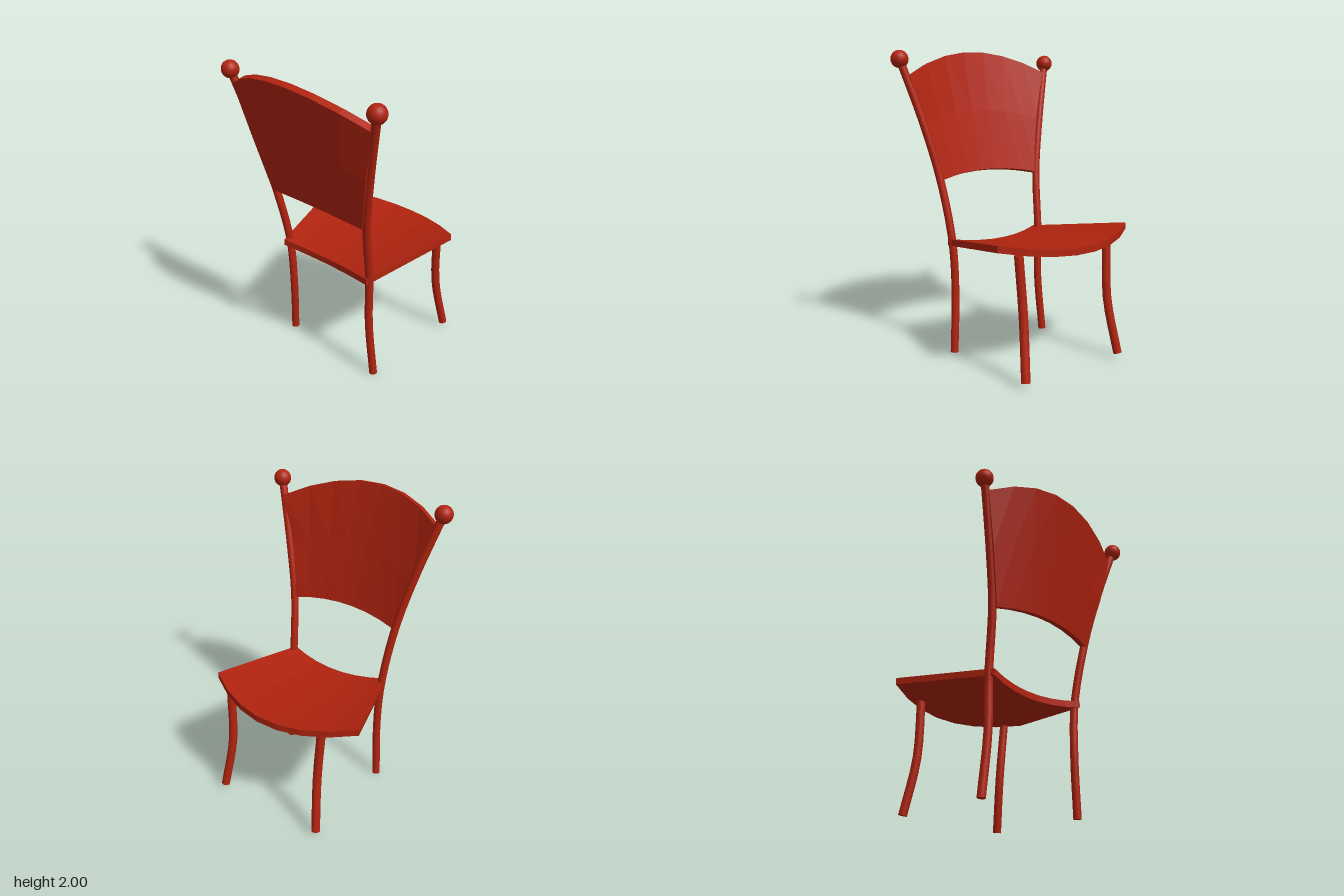
import * as THREE from 'three';

const V = (p) => new THREE.Vector3(...p);

// Point on the parabola through three points, at t = 0, 0.5 and 1
function through(a, b, c, t) {
  return a.map((_, k) =>
    a[k] * (1 - t) * (1 - 2 * t) + b[k] * 4 * t * (1 - t) + c[k] * t * (2 * t - 1));
}

// Curved slab: each row is an arc (left, centre, right); shift gives the thickness
function slab(rows, shift, cols = 7) {
  const pos = [];
  const grid = rows.map((r) =>
    Array.from({ length: cols + 1 }, (_, i) => through(...r, i / cols)));
  const back = grid.map((r) => r.map((p) => p.map((v, k) => v + shift[k])));
  const quad = (a, b, c, d) => pos.push(...a, ...b, ...c, ...a, ...c, ...d);
  const last = rows.length - 1;
  for (let j = 0; j < last; j++) {
    for (let i = 0; i < cols; i++) {
      quad(grid[j][i], grid[j][i + 1], grid[j + 1][i + 1], grid[j + 1][i]);
      quad(back[j][i], back[j + 1][i], back[j + 1][i + 1], back[j][i + 1]);
    }
    // side edges
    quad(grid[j][0], grid[j + 1][0], back[j + 1][0], back[j][0]);
    quad(grid[j][cols], back[j][cols], back[j + 1][cols], grid[j + 1][cols]);
  }
  // end edges
  for (let i = 0; i < cols; i++) {
    quad(grid[0][i], back[0][i], back[0][i + 1], grid[0][i + 1]);
    quad(grid[last][i], grid[last][i + 1], back[last][i + 1], back[last][i]);
  }
  const g = new THREE.BufferGeometry();
  g.setAttribute('position', new THREE.Float32BufferAttribute(pos, 3));
  g.computeVertexNormals();
  return g;
}

// Capped round rod following a bent path
function rod(points, radius, steps) {
  const disc = new THREE.Shape().absarc(0, 0, radius, 0, Math.PI * 2);
  return new THREE.ExtrudeGeometry(disc, {
    extrudePath: new THREE.CatmullRomCurve3(points.map(V)), steps, curveSegments: 10,
  });
}

export function createModel() {
  const chair = new THREE.Group();
  chair.name = 'chair';
  const red = new THREE.MeshStandardMaterial({ color: 0xb0230f });
  red.name = 'red paint';
  const add = (name, geometry) => {
    const mesh = new THREE.Mesh(geometry, red);
    mesh.name = name;
    chair.add(mesh);
    return mesh;
  };

  // Dished seat, rounded at the -z edge where the sitter's knees go
  add('seat', slab([
    [[-0.37, 0.765, 0.29], [0, 0.73, 0.225], [0.38, 0.765, 0.275]],
    [[-0.6, 0.86, -0.4], [-0.05, 0.803, -0.592], [0.5, 0.855, -0.42]],
  ], [0, -0.043, 0]));

  // Curved, flaring backrest
  add('backrest', slab([
    [[-0.4, 1.145, 0.342], [0, 1.188, 0.387], [0.4, 1.145, 0.337]],
    [[-0.49, 1.51, 0.41], [-0.01, 1.59, 0.487], [0.49, 1.505, 0.41]],
    [[-0.58, 1.85, 0.465], [-0.03, 1.988, 0.592], [0.57, 1.82, 0.447]],
  ], [0, 0.012, -0.047]));

  for (const [side, s] of [['left', 1], ['right', -1]]) {
    // Rear leg running up into the backrest post
    add(side + 'Post', rod([
      [s * 0.387, 0.006, 0.207], [s * 0.36, 0.4, 0.226], [s * 0.37, 0.75, 0.238],
      [s * 0.41, 1.16, 0.31], [s * 0.49, 1.52, 0.372], [s * 0.607, 1.93, 0.452],
    ], 0.026, 20));

    // Ball on top of the post
    add(side + 'Finial', new THREE.SphereGeometry(0.057, 24, 16))
      .position.set(s * 0.608, 1.932, 0.453);

    // Splayed leg under the rounded edge
    add(side + 'OuterLeg', rod([
      [s * 0.39, 0.037, -0.545], [s * 0.353, 0.4, -0.478], [s * 0.365, 0.785, -0.448],
    ], 0.028, 8));
  }
  return chair;
}
